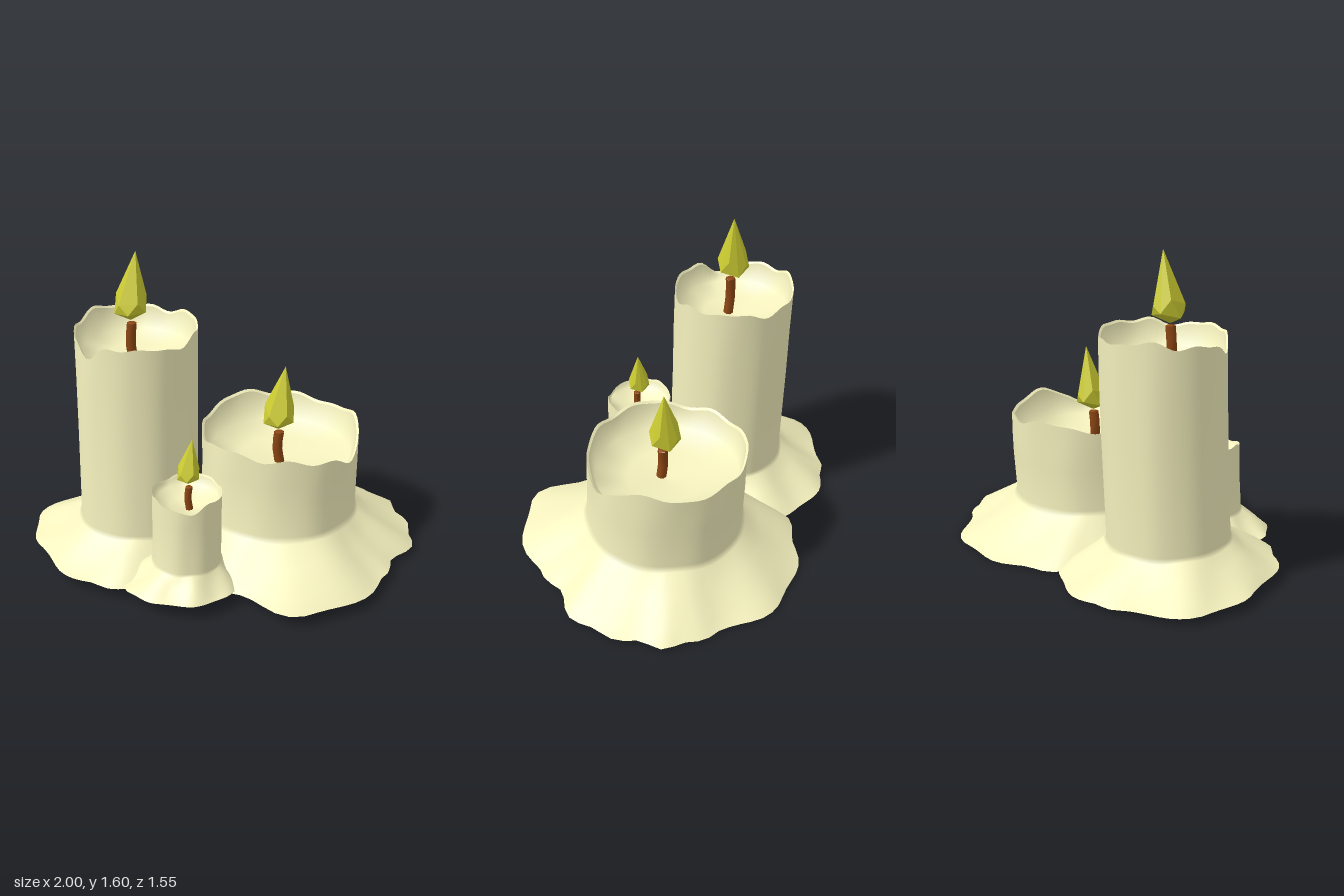
import * as THREE from 'three';
import { ConvexGeometry } from 'three/addons/geometries/ConvexGeometry.js';

const N = 72; // sides around each candle
const FULL = 2 * Math.PI;
const wax = new THREE.MeshStandardMaterial({ color: 0xf5f1be });
const wickBrown = new THREE.MeshStandardMaterial({ color: 0x8b4513 });
const flameYellow = new THREE.MeshStandardMaterial({ color: 0xcccc33, flatShading: true });

// pool: corners of the melted wax (x, z); notch: the deepest dip in the rim
const tall = {
  name: 'tallCandle', x: -0.41, z: 0.095, r: 0.303, top: 1.21, flare: 0.185, lift: 0, floor: 1.04,
  notch: { a: 2.1, depth: 0.07 }, wave: 0.014,
  pool: [[-0.34, -0.4], [-0.66, -0.36], [-0.81, -0.22], [-1, 0.08], [-0.85, 0.41], [-0.57, 0.65], [-0.34, 0.67],
    [0.02, 0.3], [-0.05, -0.15]],
  wick: { x: -0.42, z: 0.13, top: 1.25, r: 0.025 }, flameHeight: 0.345,
};
const wide = {
  name: 'wideCandle', x: 0.287, z: -0.08, r: 0.4, top: 0.66, flare: 0.225, lift: 0, floor: 0.47,
  notch: { a: 0.25, depth: 0.11 }, wave: 0.016,
  pool: [[0.22, -0.77], [0.58, -0.66], [0.8, -0.57], [0.9, -0.4], [1, -0.13], [0.9, 0.11], [0.87, 0.35], [0.54, 0.7],
    [0.22, 0.58], [-0.15, 0.36], [-0.32, -0.1], [-0.31, -0.37], [-0.14, -0.59]],
  wick: { x: 0.287, z: -0.048, top: 0.645, r: 0.026 }, flameHeight: 0.34,
};
const small = {
  name: 'smallCandle', x: -0.063, z: 0.46, r: 0.169, top: 0.535, flare: 0.135, lift: 0.01, floor: 0.44,
  notch: { a: 1.25, depth: 0.035 }, wave: 0.007,
  pool: [[-0.31, 0.7], [-0.12, 0.765], [0.085, 0.72], [0.2, 0.54], [0.07, 0.26], [-0.22, 0.28]],
  wick: { x: -0.053, z: 0.465, top: 0.57, r: 0.018 }, flameHeight: 0.235,
};

// the underside is slightly tilted
const groundY = (z) => 0.035 + 0.043 * z;

// uneven rim: a few waves plus one deep notch
function rimHeight(c, a) {
  const d = Math.atan2(Math.sin(a - c.notch.a), Math.cos(a - c.notch.a));
  const waves = Math.sin(3 * a + c.x * 8) + 0.7 * Math.sin(7 * a + c.z * 9) + 0.5 * Math.sin(11 * a);
  return c.top + c.wave * waves - c.notch.depth * Math.exp(-((d / 0.28) ** 2));
}

// distance from the candle's axis to its pool outline at angle a
function poolRadius(polar, a) {
  for (let i = 0; i < polar.length; i++) {
    const p = polar[i], q = polar[(i + 1) % polar.length];
    const span = (q.a - p.a + FULL) % FULL, d = (a - p.a + FULL) % FULL;
    if (d <= span) {
      const scallop = 0.02 * Math.sin((d / span) * FULL);
      return THREE.MathUtils.lerp(p.r, q.r, d / span) + scallop * p.r;
    }
  }
  return polar[0].r;
}

// closed rings, listed from the bowl's middle over the rim and down the outside
function skin(name, rings) {
  const index = [];
  for (let i = 0; i < rings.length - 1; i++) {
    for (let j = 0; j < N; j++) {
      const k = (j + 1) % N, u = i * N, l = u + N;
      index.push(l + j, u + j, l + k, u + j, u + k, l + k);
    }
  }
  const geometry = new THREE.BufferGeometry().setFromPoints(rings.flat());
  geometry.setIndex(index);
  geometry.computeVertexNormals();
  const mesh = new THREE.Mesh(geometry, wax);
  mesh.name = name;
  return mesh;
}

function makeWax(c) {
  const polar = c.pool
    .map(([x, z]) => ({ a: (Math.atan2(z - c.z, x - c.x) + FULL) % FULL, r: Math.hypot(x - c.x, z - c.z) }))
    .sort((p, q) => p.a - q.a);
  const ring = (fn) => Array.from({ length: N }, (_, j) => fn((j / N) * FULL));
  const ripple = (a) => 1 + 0.008 * Math.sin(5 * a + c.x * 9) + 0.006 * Math.sin(9 * a);

  // the body leans back a little as it rises
  const at = (a, r, y) => new THREE.Vector3(
    c.x + r * Math.cos(a), y, c.z + 0.035 * Math.max(0, c.top - y) + r * Math.sin(a));
  const rimRing = (k, drop) => ring((a) => at(a, c.r * k, rimHeight(c, a) - drop));
  const floorRing = (k, y) => ring((a) => at(a, c.r * k, y));
  const wallRing = (y) => ring((a) => at(a, c.r * ripple(a), y));

  // t runs from the wall to the pool's edge, h is the share of the flare's height
  const flareRing = (t, h) => ring((a) => {
    const r = THREE.MathUtils.lerp(c.r * ripple(a), poolRadius(polar, a), t);
    const z = c.z + 0.035 * c.top * (1 - t) + Math.sin(a) * r;
    const lump = 0.06 * Math.sin(7 * a + c.x * 5) * t * (1 - t);
    return new THREE.Vector3(c.x + Math.cos(a) * r, groundY(z) + c.lift + (c.flare - 0.035) * h + lump, z);
  });
  const edge = flareRing(1, 0);
  const centre = new THREE.Vector3(c.x, groundY(c.z) + c.lift + 0.03, c.z);

  return [
    skin('waxBowl', [
      floorRing(0, c.floor), floorRing(0.5, c.floor + 0.02), floorRing(0.9, c.floor + 0.05), rimRing(0.97, 0.01),
    ]),
    skin('waxRim', [rimRing(0.97, 0.01), rimRing(1, 0)]),
    skin('waxBody', [
      rimRing(1, 0), wallRing(c.top * 0.8), wallRing((c.top + c.flare) / 2),
      flareRing(0, 1.08), flareRing(0.06, 0.95), flareRing(0.35, 0.6), flareRing(0.75, 0.22), edge,
    ]),
    skin('waxUnderside', [edge, ring(() => centre)]),
  ];
}

function makeWick({ x, z, top, r }, floor) {
  const curve = new THREE.CatmullRomCurve3([
    new THREE.Vector3(x + 0.4 * r, floor - 0.02, z + 0.3 * r),
    new THREE.Vector3(x - 0.3 * r, (floor + top) / 2, z + 0.2 * r),
    new THREE.Vector3(x, top - 0.005, z),
  ]);
  const stem = new THREE.Mesh(new THREE.TubeGeometry(curve, 4, r, 7), wickBrown);
  stem.name = 'wick';
  const tip = new THREE.Mesh(new THREE.SphereGeometry(r, 7, 3, 0, FULL, 0, Math.PI / 2), wickBrown);
  tip.name = 'wickTip';
  tip.scale.y = 0.25;
  tip.position.set(x, top - 0.006, z);
  return [stem, tip];
}

// faceted teardrop: two staggered rings of five between a low point and a high tip
function makeFlame(wick, height) {
  const points = [new THREE.Vector3(0, 0, 0.008), new THREE.Vector3(0.025, 0.34, -0.022)];
  for (let i = 0; i < 5; i++) {
    const a = (i / 5) * FULL + 0.2, b = a + Math.PI / 5;
    points.push(new THREE.Vector3(0.08 * Math.cos(a), 0.045 + 0.012 * Math.sin(a * 2), 0.08 * Math.sin(a)));
    points.push(new THREE.Vector3(0.078 * Math.cos(b), 0.105 + 0.02 * Math.cos(b * 2), 0.078 * Math.sin(b)));
  }
  const mesh = new THREE.Mesh(new ConvexGeometry(points), flameYellow);
  mesh.name = 'flame';
  mesh.position.set(wick.x - 0.005, wick.top + 0.008, wick.z - 0.012);
  mesh.scale.setScalar(height / 0.34);
  return mesh;
}

export function createModel() {
  const model = new THREE.Group();
  model.name = 'meltedCandles';
  for (const c of [tall, wide, small]) {
    const candle = new THREE.Group();
    candle.name = c.name;
    candle.add(...makeWax(c), ...makeWick(c.wick, c.floor), makeFlame(c.wick, c.flameHeight));
    model.add(candle);
  }
  return model;
}
